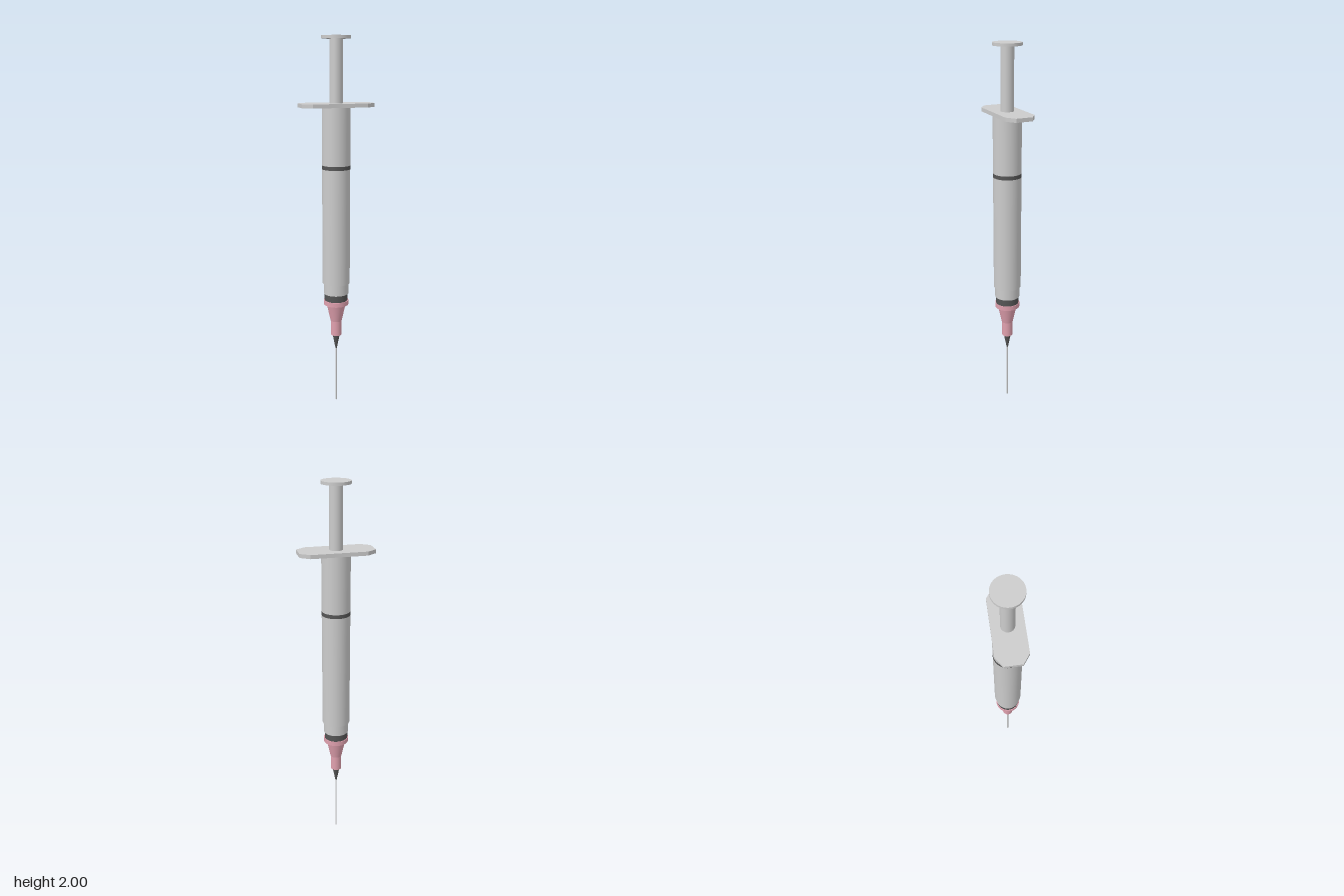
import * as THREE from 'three';

const grey = new THREE.MeshStandardMaterial({ color: 0xcccccc });
const dark = new THREE.MeshStandardMaterial({ color: 0x555555 });
const pink = new THREE.MeshStandardMaterial({ color: 0xe0a0ae });

export function createModel() {
  const model = new THREE.Group();
  model.name = 'syringe';

  // Round section between two heights, with its own bottom and top radius
  function section(name, y0, y1, rBottom, rTop, material, sides = 48) {
    const geometry = new THREE.CylinderGeometry(rTop, rBottom, y1 - y0, sides);
    geometry.translate(0, (y0 + y1) / 2, 0);
    const mesh = new THREE.Mesh(geometry, material);
    mesh.name = name;
    model.add(mesh);
  }

  // Needle and its hub
  section('needle', 0, 0.33, 0.004, 0.004, grey, 16);
  section('needleTip', 0.315, 0.397, 0.004, 0.02, dark);
  section('hubNeck', 0.397, 0.48, 0.029, 0.029, pink);
  section('hubTaper', 0.48, 0.577, 0.031, 0.052, pink);
  section('hubRim', 0.577, 0.602, 0.067, 0.067, pink);

  // Barrel with seal and marking band
  section('seal', 0.602, 0.64, 0.063, 0.063, dark);
  section('collar', 0.64, 0.7, 0.067, 0.067, grey);
  section('barrel', 0.7, 1.65, 0.074, 0.074, grey);
  section('barrelBand', 1.325, 1.345, 0.075, 0.075, dark);

  // Finger flange: a plate with cut corners
  const outline = [
    [0.193, 0.044], [0.145, 0.079], [-0.145, 0.079], [-0.193, 0.044],
    [-0.193, -0.044], [-0.145, -0.079], [0.145, -0.079], [0.193, -0.044],
  ].map(([x, z]) => new THREE.Vector2(x, z));
  const plate = new THREE.ExtrudeGeometry(new THREE.Shape(outline), { depth: 0.02, bevelEnabled: false });
  plate.rotateX(-Math.PI / 2).translate(0, 1.645, 0);
  const flange = new THREE.Mesh(plate, grey);
  flange.name = 'fingerFlange';
  model.add(flange);

  // Plunger
  section('plungerRod', 1.65, 1.99, 0.034, 0.034, grey);
  section('thumbRest', 1.985, 2, 0.075, 0.075, grey);

  return model;
}
